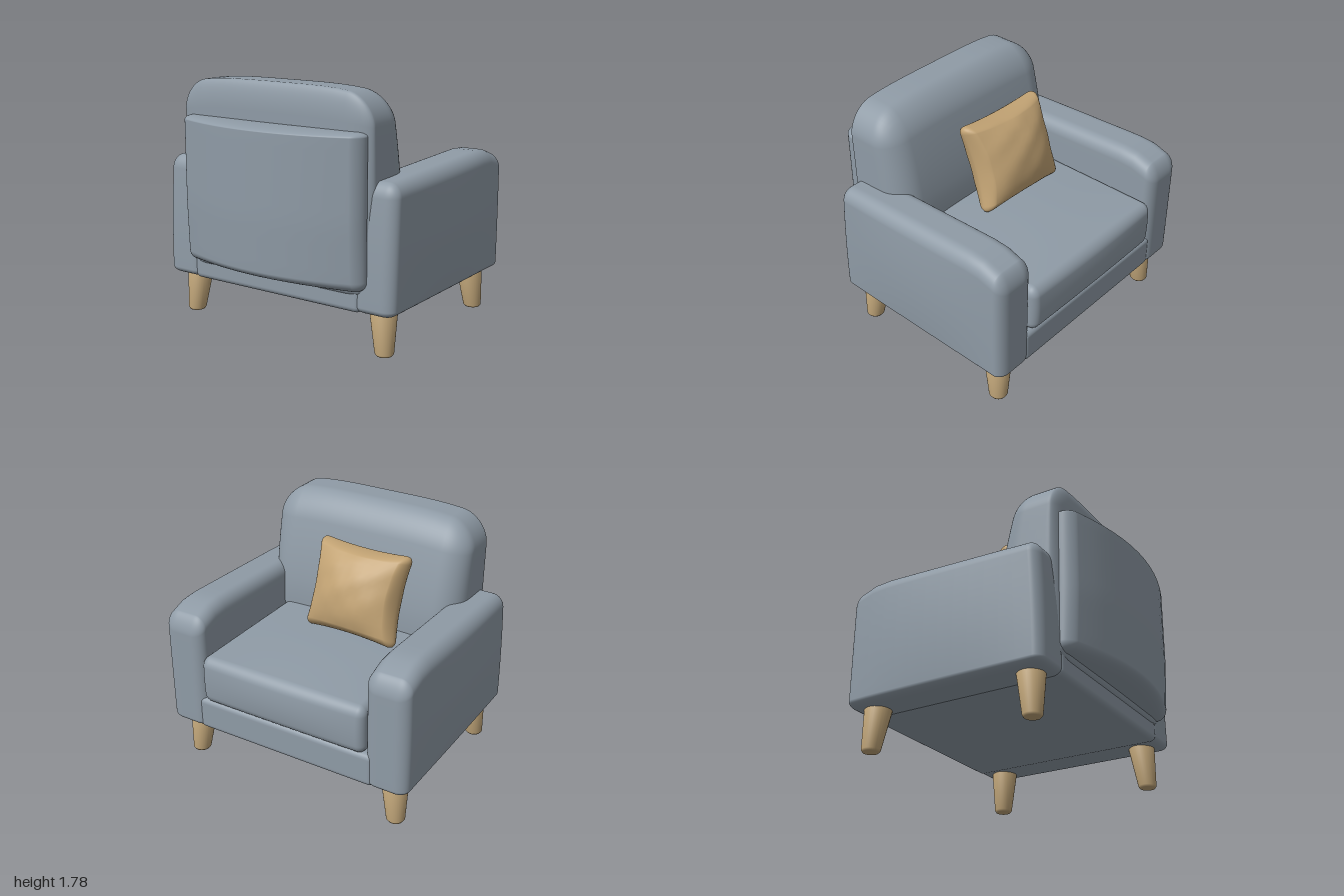
import * as THREE from 'three';
import { mergeVertices } from 'three/addons/utils/BufferGeometryUtils.js';

const N = 24;

// Upholstered block: min/max corners, radii per axis ([low side, high side] or one number), then a warp rule
function softBox(min, max, radii, warp) {
  let geo = new THREE.BoxGeometry(2, 2, 2, N, N, N);
  geo.deleteAttribute('normal');
  geo.deleteAttribute('uv');
  geo = mergeVertices(geo, 1e-4);
  const pos = geo.attributes.position;
  const v = new THREE.Vector3();
  for (let i = 0; i < pos.count; i++) {
    const base = [], d = [], r = [];
    for (let a = 0; a < 3; a++) {
      const s = pos.getComponent(i, a);
      const [rn, rp] = Array.isArray(radii[a]) ? radii[a] : [radii[a], radii[a]];
      const f = THREE.MathUtils.clamp(s + 0.5, 0, 1);
      base[a] = THREE.MathUtils.lerp(min[a] + rn, max[a] - rp, f);
      d[a] = Math.sign(s) * Math.tan(Math.max(0, Math.abs(s) - 0.5) * Math.PI / 2);
      r[a] = s < 0 ? rn : rp;
    }
    const len = Math.hypot(...d);
    v.set(...base.map((b, a) => b + d[a] / len * r[a]));
    if (warp) warp(v);
    pos.setXYZ(i, v.x, v.y, v.z);
  }
  geo.computeVertexNormals();
  return geo;
}

const dome = (u) => Math.max(0, 1 - u * u);

export function createModel() {
  const fabric = new THREE.MeshStandardMaterial({ color: 0x8f9ba6 });
  fabric.name = 'greyFabric';
  const tan = new THREE.MeshStandardMaterial({ color: 0xc1a273 });
  tan.name = 'tanFabric';
  const wood = new THREE.MeshStandardMaterial({ color: 0xbfa478 });
  wood.name = 'paleWood';

  const group = new THREE.Group();
  group.name = 'armchair';
  const add = (name, geo, mat) => {
    const mesh = new THREE.Mesh(geo, mat);
    mesh.name = name;
    group.add(mesh);
    return mesh;
  };

  // Seat base
  add('seatBase', softBox([-0.67, 0.3, -0.72], [0.865, 0.55, 0.72], [0.04, 0.04, 0.04]), fabric);

  // Seat cushion with a crowned top and front
  add('seatCushion', softBox([-0.4, 0.54, -0.66], [0.88, 0.905, 0.66], [0.06, 0.07, 0.06], (v) => {
    const k = dome(v.z / 0.66);
    if (v.y > 0.72) v.y += 0.025 * k * dome((v.x - 0.24) / 0.64);
    if (v.x > 0.8) v.x += 0.027 * dome((v.y - 0.73) / 0.2) * (0.4 + 0.6 * k);
  }), fabric);

  // Arms: bulging outer sides, top dropping away at the front
  for (const side of [1, -1]) {
    const z = [0.655 * side, 0.975 * side].sort((a, b) => a - b);
    add(side > 0 ? 'armLeft' : 'armRight',
      softBox([-0.67, 0.3, z[0]], [0.87, 1.21, z[1]], [0.07, [0.05, 0.1], 0.09], (v) => {
        const h = (v.y - 0.3) / 0.91;
        const out = Math.max(0, (Math.abs(v.z) - 0.8) / 0.175);
        v.z += side * out * 0.025 * dome((v.x - 0.1) / 0.77) * dome(h * 2 - 1);
        const t = Math.max(0, (v.x - 0.5) / 0.37);
        v.y += h * (0.035 * v.x - 0.11 * t * t * t);
        if (v.x < -0.4) v.x += 0.04 * h * h;
      }), fabric);
  }

  // Backrest, thinning and rounding toward its top
  add('backrest', softBox([-0.69, 0.4, -0.79], [-0.16, 1.78, 0.81],
    [[0.08, 0.2], [0.08, 0.2], 0.2], (v) => {
      const f = 1 - 0.2 * Math.pow(Math.max(0, (v.y - 1) / 0.58), 1.5);
      v.x = -0.69 + (v.x + 0.69) * f;
      if (v.y > 1) v.y -= 0.06 * Math.pow(Math.abs(v.z - 0.01) / 0.8, 4) * (v.y - 1) / 0.78;
    }), fabric);

  // Rear panel, bowed outward along its middle
  add('rearPanel', softBox([-0.75, 0.46, -0.73], [-0.64, 1.51, 0.78],
    [[0.07, 0.03], [0.07, 0.03], 0.07], (v) => {
      const k = (-0.64 - v.x) / 0.11;
      v.x -= 0.16 * k * dome((v.z - 0.025) / 0.76);
      if (v.y < 0.9) v.x += 0.02 * k * (0.9 - v.y) / 0.44;
    }), fabric);

  // Throw pillow: thin soft slab inflated in the middle, pinched edges, light creases
  const pillow = add('throwPillow', softBox([-0.05, -0.335, -0.38], [0.05, 0.335, 0.38],
    [0.05, 0.06, 0.06], (v) => {
      const u = v.z / 0.38, w = v.y / 0.335;
      const puff = Math.pow(dome(u) * dome(w), 0.6);
      const crease = 0.05 * Math.sin(9 * u + 4 * w * w) * Math.cos(8 * w - 3 * u);
      v.x *= 1 + 3 * puff * (1 + crease);
      v.z *= 1 - 0.11 * dome(w);
      v.y *= 1 - 0.07 * dome(u);
    }), tan);
  pillow.position.set(0, 1.245, -0.1);
  pillow.rotation.set(0, -0.04, 0.35);

  // Tapered legs with straight outer sides
  const profile = [[0, 0], [0.055, 0], [0.066, 0.015], [0.1, 0.34], [0, 0.34]]
    .map(([r, y]) => new THREE.Vector2(r, y));
  for (const sx of [1, -1]) {
    for (const sz of [1, -1]) {
      const geo = new THREE.LatheGeometry(profile, 32);
      const shear = new THREE.Matrix4().set(
        1, -0.08 * sx, 0, 0.1 + sx * 0.628,
        0, 1, 0, 0,
        0, -0.08 * sz, 1, sz * 0.835,
        0, 0, 0, 1);
      geo.applyMatrix4(shear);
      add((sx > 0 ? 'front' : 'rear') + 'Leg' + (sz > 0 ? 'Left' : 'Right'), geo, wood);
    }
  }
  return group;
}
